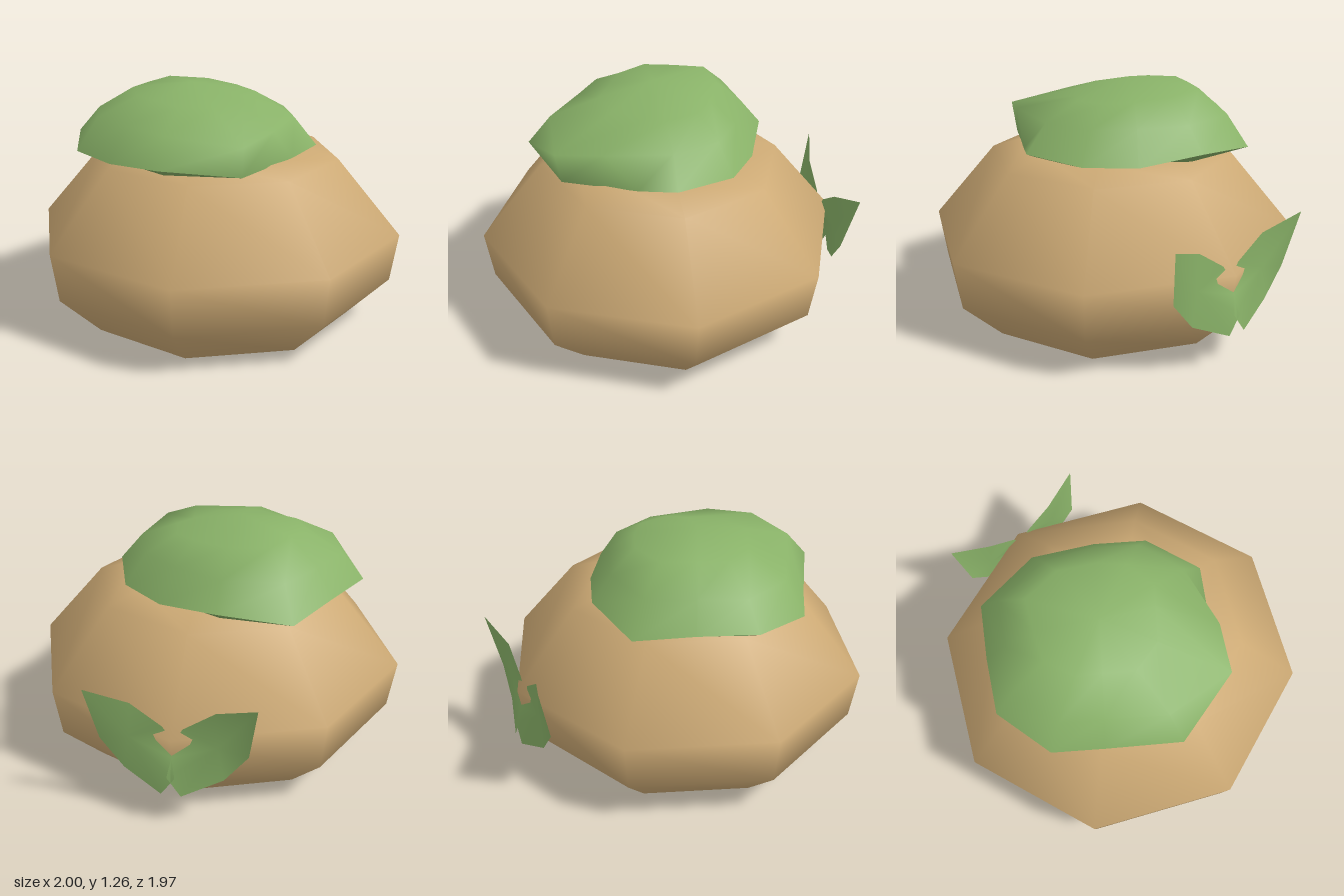
import * as THREE from 'three';

const tan = new THREE.MeshStandardMaterial({ color: 0xcca974, side: THREE.DoubleSide });
tan.name = 'tan body';
const green = new THREE.MeshStandardMaterial({ color: 0x89b268, side: THREE.DoubleSide });
green.name = 'leaf green';

// Closed rings of points joined in order, ending in a single centre point
function shell(rings, centre) {
  const n = rings[0].length;
  const pos = [...rings.flat(2), ...centre];
  const index = [];
  rings.forEach((ring, r) => {
    for (let i = 0; i < n; i++) {
      const a = r * n + i, b = r * n + ((i + 1) % n);
      if (r < rings.length - 1) index.push(a, a + n, b + n, a, b + n, b);
      else index.push(a, rings.length * n, b);
    }
  });
  return surface(pos, index);
}

function surface(pos, index) {
  const g = new THREE.BufferGeometry();
  g.setAttribute('position', new THREE.Float32BufferAttribute(pos, 3));
  g.setIndex(index);
  g.computeVertexNormals();
  return g;
}

function add(group, name, geometry, material) {
  const mesh = new THREE.Mesh(geometry, material);
  mesh.name = name;
  group.add(mesh);
  return mesh;
}

export function createModel() {
  const model = new THREE.Group();
  model.name = 'squatPlant';

  // Squat eight-sided hollow body, open underneath
  const profile = [[0.735, 0], [0.96, 0.22], [1, 0.48], [0.66, 0.88], [0.46, 0.94], [0, 0.96]]
    .map(([x, y]) => new THREE.Vector2(x, y));
  const body = add(model, 'body', new THREE.LatheGeometry(profile, 8), tan);
  body.scale.z = 0.975;
  body.position.z = 0.01;

  // Leafy cap: irregular rim, running from the right edge round the front
  const rim = [
    [0.54, 0.955, 0.02], [0.44, 0.925, 0.2], [0.25, 0.91, 0.56], [-0.13, 0.96, 0.7],
    [-0.45, 0.915, 0.48], [-0.68, 0.93, 0.33], [-0.78, 0.965, 0.01], [-0.65, 0.96, -0.26],
    [-0.5, 0.93, -0.53], [-0.13, 0.97, -0.575], [0.19, 0.93, -0.45], [0.42, 0.94, -0.29],
  ];
  const cx = -0.13, cz = 0.02;
  const scaled = ([x, , z], s, y) => [cx + (x - cx) * s, y, cz + (z - cz) * s];
  // Shoulder ring, with a sharp overhang at the front corner
  const shoulder = rim.map((p) => scaled(p, 0.82, 1.1));
  shoulder[1] = [0.37, 1.1, 0.36];
  shoulder[2] = [0.26, 1.07, 0.59];
  // Crown ring, fuller and higher towards the back
  const crown = rim.map((p) => {
    const [x, , z] = scaled(p, 0.52 - 0.12 * p[2], 0);
    return [x, 1.195 - 0.05 * (x + z), z];
  });
  const hem = rim.map((p) => scaled(p, 0.87, Math.min(0.915, p[1] - 0.005)));

  const cap = new THREE.Group();
  cap.name = 'leafCap';
  model.add(cap);
  const outward = [rim, shoulder, crown].map((r) => [...r].reverse());
  add(cap, 'capTop', shell(outward, [cx, 1.265, cz]), green);
  add(cap, 'capUnderside', shell([rim, hem], [cx, 0.93, cz]), green);

  // Mirrored pair of folded leaves on the back, fanned from a centre point
  const outline = [
    [0.42, 0.72, -0.985], [0.37, 0.42, -0.925], [0.25, 0.27, -0.93], [0.05, 0.18, -0.985],
    [-0.02, 0.28, -0.985], [0, 0.38, -0.955], [0, 0.45, -0.925], [0.05, 0.53, -0.925],
    [0.21, 0.64, -0.925],
  ];
  for (const side of [1, -1]) {
    const pos = [[0.22, 0.45, -0.928], ...outline].flatMap(([x, y, z]) => [x * side, y, z]);
    const index = [];
    for (let i = 0; i < outline.length; i++) {
      const a = i + 1, b = ((i + 1) % outline.length) + 1;
      index.push(0, ...(side > 0 ? [a, b] : [b, a]));
    }
    add(model, side > 0 ? 'backLeafLeft' : 'backLeafRight', surface(pos, index), green);
  }
  return model;
}
